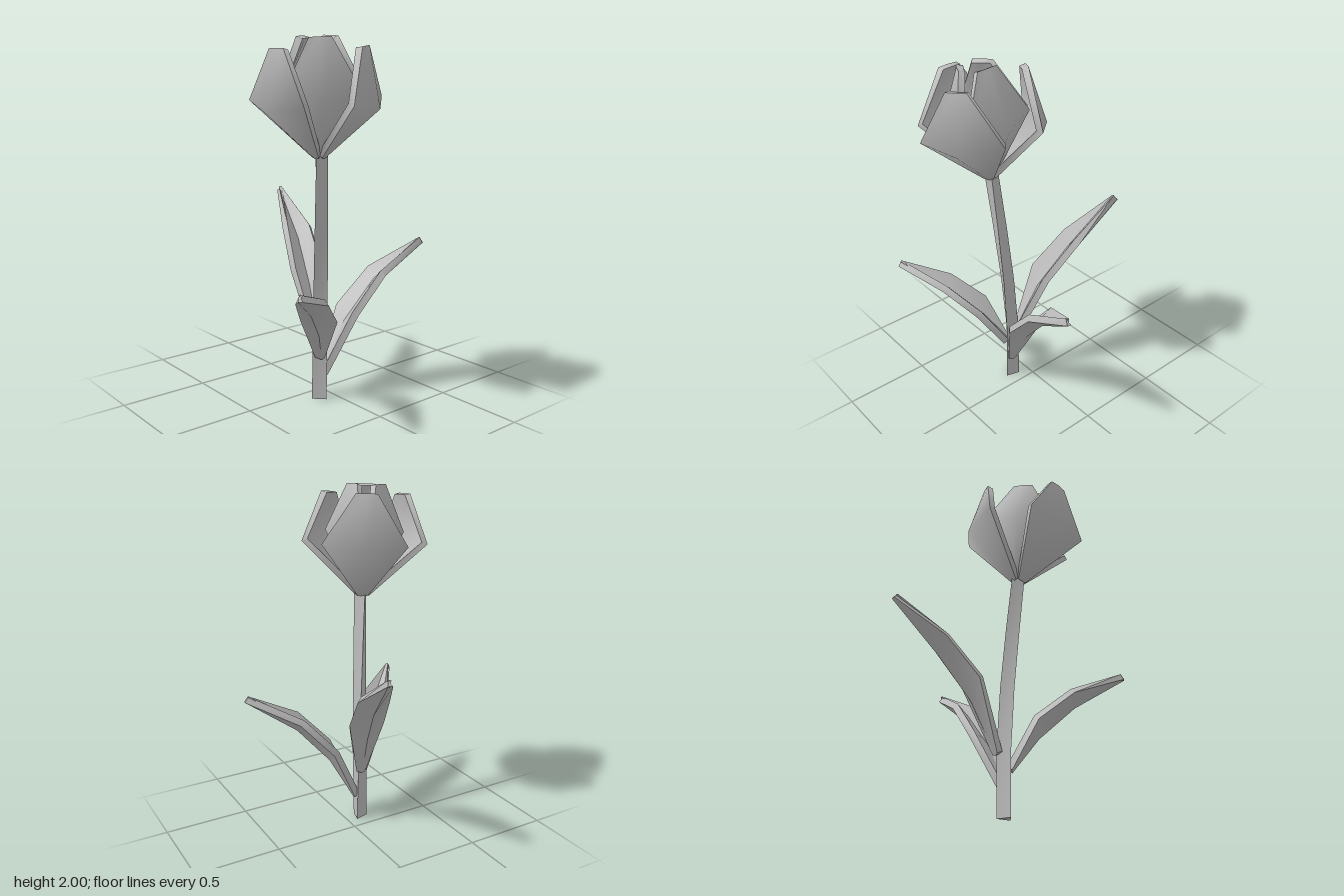
import * as THREE from 'three';
import { toCreasedNormals } from 'three/addons/utils/BufferGeometryUtils.js';

const grey = new THREE.MeshStandardMaterial({ color: 0xbbbbbb });
grey.name = 'plainGrey';

function addMesh(parent, name, geometry) {
  const mesh = new THREE.Mesh(geometry, grey);
  mesh.name = name;
  parent.add(mesh);
}

// Thick sheet from rows of three points (edge, midrib, edge).
function sheet(rows, thickness, crease) {
  const points = rows.flat();
  const n = rows.length;
  const quads = [];
  for (let r = 0; r < n - 1; r++) {
    for (let c = 0; c < 2; c++) {
      const a = r * 3 + c;
      quads.push([a, a + 1, a + 4, a + 3]);
    }
  }
  const toTriangles = ([a, b, c, d]) => [a, b, c, a, c, d];

  // Surface normals give the direction of the thickness
  const middle = new THREE.BufferGeometry().setFromPoints(points);
  middle.setIndex(quads.flatMap(toTriangles));
  middle.computeVertexNormals();
  const normals = points.map((p, i) => new THREE.Vector3().fromBufferAttribute(middle.attributes.normal, i));
  const offset = (s) => points.map((p, i) => p.clone().addScaledVector(normals[i], s * thickness / 2));

  // Both faces and the rim
  const m = points.length;
  const index = [];
  for (const [a, b, c, d] of quads) {
    index.push(...toTriangles([a, b, c, d]), ...toTriangles([d + m, c + m, b + m, a + m]));
  }
  const loop = [0, 1];
  for (let r = 0; r < n; r++) loop.push(r * 3 + 2);
  loop.push(m - 2);
  for (let r = n - 1; r > 0; r--) loop.push(r * 3);
  loop.forEach((p, i) => {
    const q = loop[(i + 1) % loop.length];
    index.push(...toTriangles([p + m, q + m, q, p]));
  });
  const geometry = new THREE.BufferGeometry().setFromPoints([...offset(1), ...offset(-1)]);
  geometry.setIndex(index);
  return toCreasedNormals(geometry, crease);
}

// Petal rows: midrib radius, midrib height, edge radius, edge height, half width
function petal(profile, angle) {
  const c = Math.cos(angle), s = Math.sin(angle);
  const at = (r, y, w) => new THREE.Vector3(c * r - s * w, y, s * r + c * w);
  const rows = profile.map(([r, y, er, ey, w]) => [at(er, ey, w), at(r, y, 0), at(er, ey, -w)]);
  return sheet(rows, 0.036, 1.2);
}

// Leaf rows: midrib x, y, z, half width, height of the edges above the midrib
function leaf(profile) {
  const first = profile[0], last = profile[profile.length - 1];
  const side = new THREE.Vector3(first[2] - last[2], 0, last[0] - first[0]).normalize();
  const rows = profile.map(([x, y, z, w, lift]) => [1, 0, -1].map((k) =>
    new THREE.Vector3(x, y + Math.abs(k) * lift, z).addScaledVector(side, k * w)));
  return sheet(rows, 0.04, 0.6);
}

export function createModel() {
  const model = new THREE.Group();
  model.name = 'tulip';

  // Three-sided stem, leaning and twisting towards the flower
  const stem = new THREE.CylinderGeometry(0.043, 0.048, 1.41, 3, 4).translate(0, 0.705, 0);
  const pos = stem.attributes.position;
  for (let i = 0; i < pos.count; i++) {
    const y = pos.getY(i);
    const lean = Math.max(0, (y / 1.41 - 0.3) / 0.7) ** 1.2;
    const p = new THREE.Vector3().fromBufferAttribute(pos, i);
    p.applyAxisAngle(new THREE.Vector3(0, 1, 0), 0.25 + 0.5 * y);
    pos.setXYZ(i, p.x - 0.09 - 0.055 * lean, y, p.z + 0.1 + 0.07 * lean);
  }
  addMesh(model, 'stem', toCreasedNormals(stem, 0.6));

  // Folded leaves
  addMesh(model, 'leftLeaf', leaf([
    [-0.075, 0.14, 0.11, 0.02, 0.01], [0.08, 0.42, 0.13, 0.1, 0.07],
    [0.27, 0.64, 0.17, 0.078, 0.06], [0.56, 0.85, 0.24, 0.003, 0]]));
  addMesh(model, 'backLeaf', leaf([
    [-0.075, 0.33, 0.06, 0.02, 0.01], [-0.03, 0.61, -0.08, 0.09, 0.1],
    [0.035, 0.84, -0.26, 0.078, 0.08], [0.11, 1.11, -0.535, 0.003, 0]]));
  addMesh(model, 'frontRightLeaf', leaf([
    [-0.1, 0.25, 0.12, 0.02, 0.01], [-0.2, 0.44, 0.23, 0.09, 0.08],
    [-0.35, 0.61, 0.36, 0.075, 0.06], [-0.565, 0.768, 0.54, 0.003, 0]]));

  // Flower of three outer and three inner petals
  const flower = new THREE.Group();
  flower.name = 'flower';
  flower.position.set(-0.15, 1.365, 0.17);
  flower.rotation.set(0.06, 0, 0.07);
  model.add(flower);
  const outer = [[0.02, 0.02, 0.015, 0.025, 0.025], [0.315, 0.28, 0.255, 0.32, 0.225], [0.245, 0.58, 0.24, 0.58, 0.055]];
  const inner = [[0.012, 0.03, 0.008, 0.035, 0.02], [0.2, 0.33, 0.13, 0.37, 0.19], [0.08, 0.625, 0.075, 0.625, 0.055]];
  for (let i = 0; i < 3; i++) {
    const angle = i * Math.PI * 2 / 3;
    addMesh(flower, 'outerPetal' + (i + 1), petal(outer, angle + Math.PI / 3));
    addMesh(flower, 'innerPetal' + (i + 1), petal(inner, angle));
  }
  return model;
}
